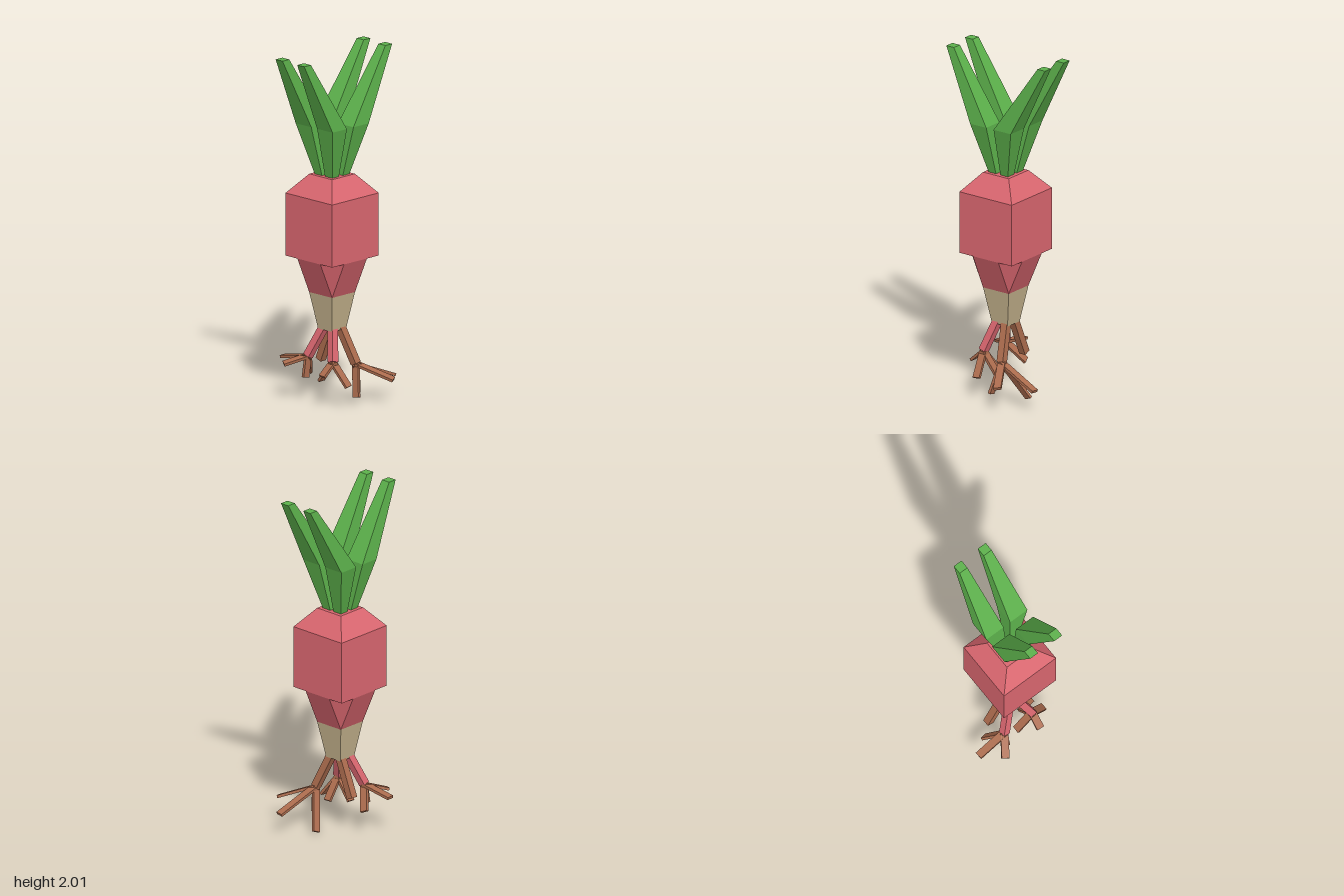
import * as THREE from 'three';
import { ConvexGeometry } from 'three/addons/geometries/ConvexGeometry.js';

const CX = -0.015, CZ = -0.006; // axis of the bulb

const makeMaterial = (name, color) => {
  const m = new THREE.MeshStandardMaterial({ color });
  m.name = name;
  return m;
};

// Stack of rectangular rings [x0, x1, y, z0, z1], from the bottom up, flat shaded
function loft(rings) {
  const corners = rings.map(([x0, x1, y, z0, z1]) =>
    [[x0, y, z0], [x1, y, z0], [x1, y, z1], [x0, y, z1]]);
  const out = [];
  const quad = (a, b, c, d) => out.push(...a, ...b, ...c, ...a, ...c, ...d);
  for (let k = 0; k < corners.length - 1; k++) {
    const lo = corners[k], hi = corners[k + 1];
    for (let i = 0; i < 4; i++) {
      const j = (i + 1) % 4;
      quad(lo[i], hi[i], hi[j], lo[j]);
    }
  }
  quad(...corners[0]);
  quad(...[...corners[corners.length - 1]].reverse());
  const g = new THREE.BufferGeometry();
  g.setAttribute('position', new THREE.Float32BufferAttribute(out, 3));
  g.computeVertexNormals();
  return g;
}

const square = (y, h) => [CX - h, CX + h, y, CZ - h, CZ + h];

// Box running from a to b, its width kept along the given axis
function beam(a, b, width, thick, axis) {
  const start = new THREE.Vector3(...a), end = new THREE.Vector3(...b);
  const dir = end.clone().sub(start);
  const length = dir.length();
  dir.normalize();
  const w = axis.clone().addScaledVector(dir, -axis.dot(dir)).normalize();
  const t = w.clone().cross(dir);
  const m = new THREE.Matrix4().makeBasis(w, dir, t);
  m.setPosition(start.add(end).multiplyScalar(0.5));
  return new THREE.BoxGeometry(width, length, thick).applyMatrix4(m);
}

export function createModel() {
  const model = new THREE.Group();
  const pink = makeMaterial('pinkSkin', 0xd9666f);
  const green = makeMaterial('leafGreen', 0x5cb04b);
  const tan = makeMaterial('paleTip', 0xc4b28c);
  const brown = makeMaterial('rootBrown', 0xac6c4e);
  const add = (name, geometry, material, parent = model) => {
    const mesh = new THREE.Mesh(geometry, material);
    mesh.name = name;
    parent.add(mesh);
  };

  // Bulb: block with a bevelled shoulder
  const R = 0.183, N = 0.09;
  add('bulb', loft([square(0.83, R), square(1.19, R), square(1.3, N)]), pink);

  // Lower bulb: octagon narrowing to the square neck
  const points = [];
  for (const sx of [-1, 1]) for (const sz of [-1, 1]) {
    points.push(
      new THREE.Vector3(CX + sx * N, 0.83, CZ + sz * R),
      new THREE.Vector3(CX + sx * R, 0.83, CZ + sz * N),
      new THREE.Vector3(CX + sx * N, 0.62, CZ + sz * N));
  }
  add('lowerBulb', new ConvexGeometry(points), pink);
  add('paleNeck', loft([square(0.41, 0.055), square(0.62, N)]), tan);

  // Leaves: four bent, tapering blades
  const leaves = new THREE.Group();
  leaves.name = 'leaves';
  model.add(leaves);
  const sideX = {
    left: [[0, 0.05], [0.01, 0.13], [0.293, 0.346]],
    right: [[-0.08, -0.03], [-0.155, -0.042], [-0.346, -0.293]],
  };
  const sideZ = {
    Front: [[0.005, 0.06], [0.016, 0.137], [0.05, 0.105]],
    Back: [[-0.073, -0.018], [-0.152, -0.03], [-0.119, -0.065]],
  };
  const heights = [1.29, 1.59, 2];
  for (const [l, xs] of Object.entries(sideX)) {
    for (const [f, zs] of Object.entries(sideZ)) {
      add(`${l}${f}Leaf`, loft(heights.map((y, i) => [...xs[i], y, ...zs[i]])), green, leaves);
    }
  }

  // Roots: a main root below each neck corner, splitting into flat rootlets
  const X = new THREE.Vector3(1, 0, 0), Z = new THREE.Vector3(0, 0, 1);
  const roots = [
    { name: 'leftFront', skin: brown, from: [0.015, 0.42, 0.03], to: [0.05, 0.22, 0.115],
      tips: [[0.31, 0.115, 0.152, Z], [0.01, 0.04, 0.16, Z], [0.162, 0.14, 0.3, X], [0.16, 0.005, 0.012, X]] },
    { name: 'leftBack', skin: brown, from: [0.015, 0.42, -0.04], to: [0.02, 0.205, -0.13], tips: [] },
    { name: 'rightFront', skin: pink, from: [-0.045, 0.42, 0.03], to: [-0.1, 0.25, 0.085],
      tips: [[-0.18, 0.18, 0.08, Z], [-0.005, 0.125, 0.08, Z], [-0.075, 0.12, 0.182, X], [-0.09, 0.125, -0.018, X]] },
    { name: 'rightBack', skin: pink, from: [-0.045, 0.42, -0.04], to: [-0.1, 0.25, -0.11],
      tips: [[-0.212, 0.21, -0.19, Z], [-0.015, 0.13, -0.19, Z], [-0.11, 0.215, -0.3, X], [-0.12, 0.13, -0.11, X]] },
  ];
  for (const { name, skin, from, to, tips } of roots) {
    const g = new THREE.Group();
    g.name = `${name}Root`;
    model.add(g);
    add(`${name}MainRoot`, beam(from, to, 0.042, 0.042, X), skin, g);
    for (const [x, y, z, axis] of tips) {
      add(`${name}Rootlet`, beam(to, [x, y, z], 0.044, 0.016, axis), brown, g);
    }
  }
  return model;
}
